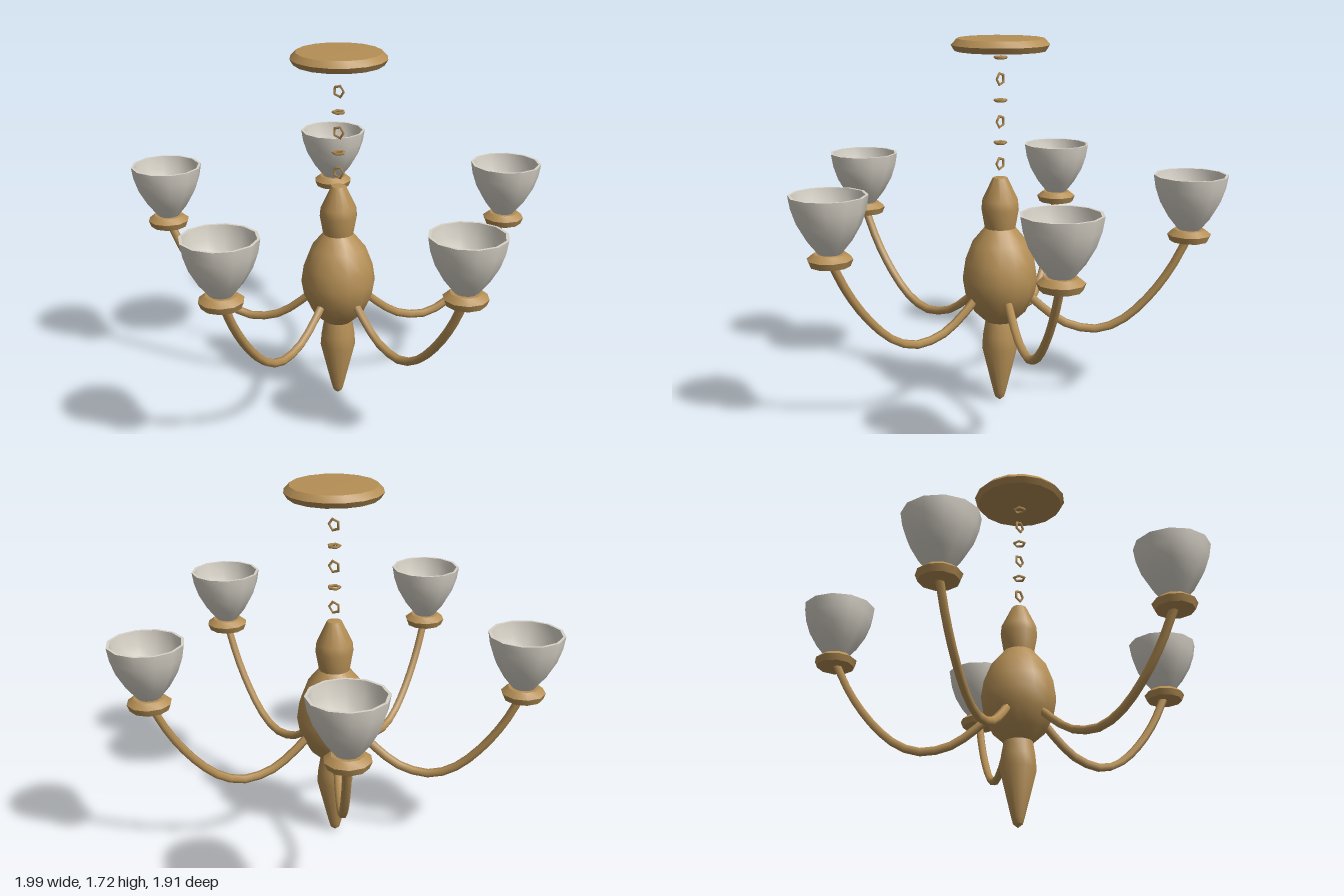
import * as THREE from 'three';
import { toCreasedNormals } from 'three/addons/utils/BufferGeometryUtils.js';

const brass = new THREE.MeshStandardMaterial({ color: 0xb58f55 });
brass.name = 'brass';
const glass = new THREE.MeshStandardMaterial({ color: 0xd8d3c8 });
glass.name = 'frosted glass';

const ARMS = 5, ARM_REACH = 0.87;

function part(name, geometry, material) {
  const mesh = new THREE.Mesh(geometry, material);
  mesh.name = name;
  return mesh;
}

// Turned part from [radius, height] pairs, listed from the bottom up
function turned(name, profile, sides, material, crease = 0.6) {
  const points = profile.map(([r, y]) => new THREE.Vector2(r, y));
  return part(name, toCreasedNormals(new THREE.LatheGeometry(points, sides), crease), material);
}

// One arm reaching along +z with its holder and shade
function createArm() {
  const arm = new THREE.Group();
  arm.name = 'lightArm';

  // Curved tube
  const path = new THREE.CatmullRomCurve3([
    [0.14, 0.52], [0.22, 0.45], [0.3, 0.395], [0.4, 0.366], [0.48, 0.368],
    [0.58, 0.415], [0.69, 0.52], [0.79, 0.66], [ARM_REACH, 0.82],
  ].map(([z, y]) => new THREE.Vector3(0, y, z)));
  arm.add(part('armTube', new THREE.TubeGeometry(path, 14, 0.02, 6), brass));

  // Dish that holds the shade
  const holder = turned('shadeHolder', [
    [0, 0.798], [0.088, 0.798], [0.1, 0.828], [0.07, 0.852], [0, 0.852],
  ], 10, brass);

  // Thick open shade: outside going up, rim, then inside going down
  const shade = turned('shade', [
    [0.028, 0.846], [0.05, 0.85], [0.098, 0.91], [0.138, 0.98], [0.16, 1.045], [0.17, 1.105],
    [0.157, 1.105], [0.148, 1.045], [0.125, 0.98], [0.086, 0.915], [0.028, 0.856],
  ], 12, glass);

  holder.position.z = shade.position.z = ARM_REACH;
  arm.add(holder, shade);
  return arm;
}

export function createModel() {
  const model = new THREE.Group();
  model.name = 'chandelier';

  // Central column with finial, bulb and neck
  model.add(turned('column', [
    [0, 0], [0.022, 0.018], [0.03, 0.045], [0.085, 0.27], [0.08, 0.33], [0.068, 0.4],
    [0.122, 0.45], [0.165, 0.54], [0.177, 0.61], [0.165, 0.69], [0.13, 0.78], [0.072, 0.85],
    [0.088, 0.94], [0.084, 0.98], [0.034, 1.085], [0, 1.092],
  ], 14, brass));

  // Ceiling plate
  model.add(turned('ceilingPlate', [
    [0, 1.663], [0.207, 1.663], [0.224, 1.69], [0.198, 1.718], [0, 1.72],
  ], 16, brass));

  // Chain links, alternately upright and flat
  const link = new THREE.TorusGeometry(0.027, 0.007, 4, 5);
  for (let i = 0; i < 6; i++) {
    const mesh = part('chainLink', link, brass);
    mesh.position.y = 1.15 + i * 0.0965;
    if (i % 2) mesh.rotation.x = Math.PI / 2;
    model.add(mesh);
  }

  // Arms spread evenly round the column, one facing the front
  for (let i = 0; i < ARMS; i++) {
    const arm = createArm();
    arm.rotation.y = (i * 2 * Math.PI) / ARMS;
    model.add(arm);
  }

  // Centre the uneven front-to-back spread
  model.children.forEach((child) => { child.position.z -= 0.083; });
  return model;
}
